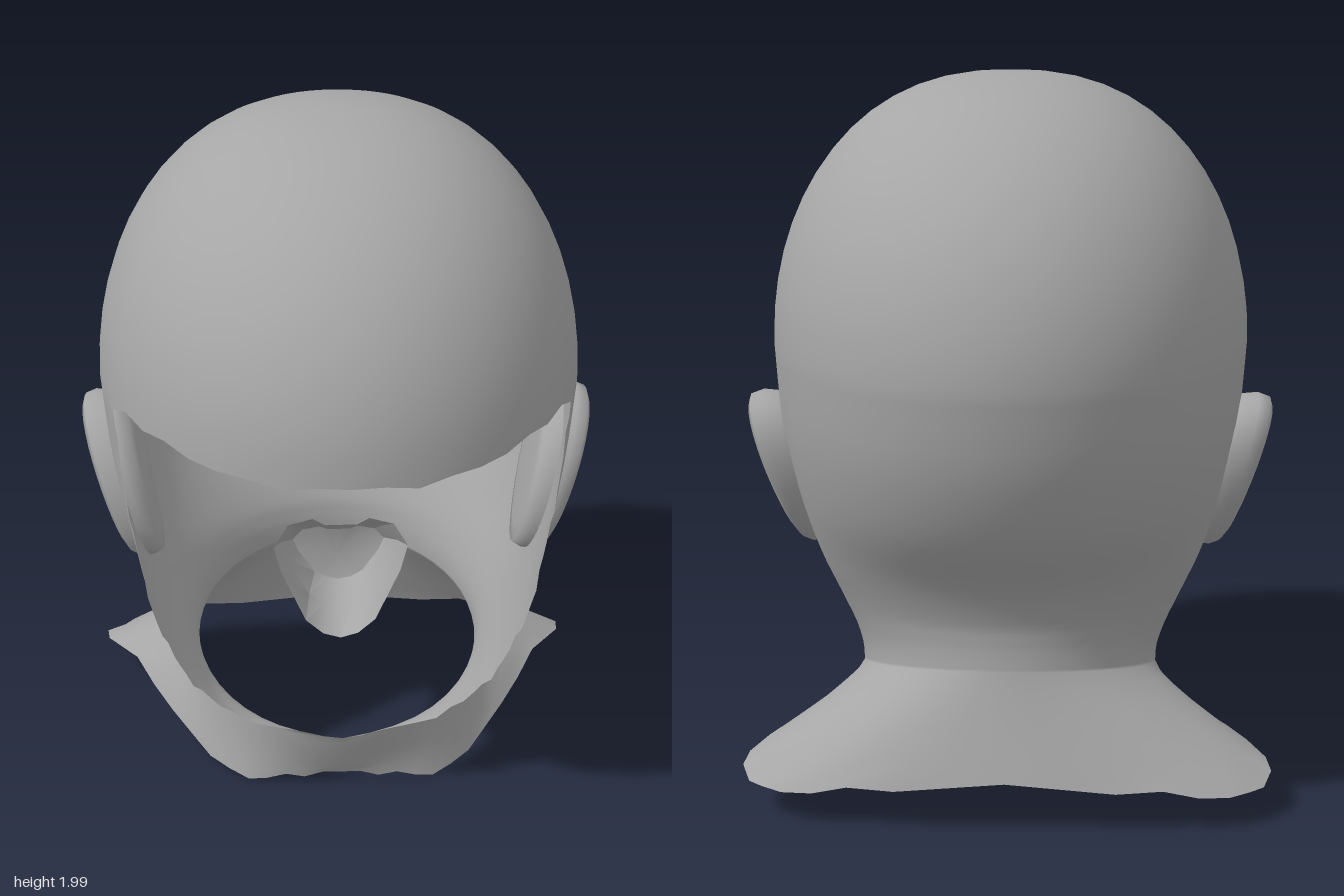
import * as THREE from 'three';
import { mergeGeometries, mergeVertices, toCreasedNormals } from 'three/addons/utils/BufferGeometryUtils.js';

const skin = new THREE.MeshStandardMaterial({ color: 0xa6a6a6, side: THREE.DoubleSide });
skin.name = 'grey skin';

const V = (x, y, z) => new THREE.Vector3(x, y, z);
const lerp = THREE.MathUtils.lerp;
const jag = i => Math.sin(i * 2.4) * 0.6 + Math.sin(i * 5.3 + 1) * 0.4;

// Joins rows of points (equal length) into a surface
function loft(rows) {
  const n = rows[0].length, index = [];
  for (let r = 0; r < rows.length - 1; r++) {
    for (let i = 0; i < n - 1; i++) {
      const a = r * n + i, b = a + n;
      index.push(a, b, a + 1, b, b + 1, a + 1);
    }
  }
  const geo = new THREE.BufferGeometry().setFromPoints(rows.flat());
  geo.setIndex(index);
  return geo;
}

// Catmull-Rom through rows of numbers
function spline(rows, t) {
  const k = Math.min(Math.floor(t), rows.length - 2), u = t - k;
  const at = j => rows[THREE.MathUtils.clamp(j, 0, rows.length - 1)];
  return rows[0].map((_, c) => {
    const [a, b, d, e] = [at(k - 1)[c], at(k)[c], at(k + 1)[c], at(k + 2)[c]];
    return b + 0.5 * u * (d - a + u * (2 * a - 5 * b + 4 * d - e + u * (3 * (b - d) + e - a)));
  });
}

const mirrorRow = half => [...half, ...half.slice(0, -1).reverse().map(p => V(-p.x, p.y, p.z))];

const CUT = 0.33, NE = 9, NF = 9, NB = 13;
const PHI = Math.asin(CUT / 0.83);

// Skull cap: upper half of an ellipsoid with a ragged brow edge
function capGeometry() {
  const phis = [];
  for (let i = 0; i < NE; i++) phis.push(lerp(Math.PI / 2, PHI, i / NE));
  for (let i = 0; i < NF; i++) phis.push(lerp(PHI, 0, i / NF));
  for (let i = 0; i <= NB; i++) phis.push(-Math.PI / 2 * i / NB);
  const rows = [], R = 14;
  for (let r = 0; r <= R; r++) {
    const th = Math.PI / 2 * (1 - r / R);
    const c = r ? Math.cos(th) : 0;
    rows.push(mirrorRow(phis.map((p, i) => {
      const z = 0.83 * c * Math.sin(p);
      let y = 1.27 + 0.73 * Math.sin(th);
      if (r === R && i < NE) y += 0.045 * Math.pow(i / NE, 2) + 0.012 * jag(i);
      return V(0.664 * Math.pow(c, 0.85) * Math.cos(p), y, z);
    })));
  }
  return loft(rows);
}

// Sides, nape and jaw, open at the face, running down into the flared neck
function shellGeometry() {
  // y at front, y at back, x at the face cut, half width, z of widest point, z at back
  const keys = [
    [1.27, 1.27, 0.664 * Math.cos(PHI), 0.664, 0, -0.83],
    [1.05, 1.05, 0.592, 0.645, -0.02, -0.79],
    [0.85, 0.85, 0.565, 0.605, -0.03, -0.70],
    [0.65, 0.68, 0.53, 0.55, -0.03, -0.565],
    [0.50, 0.57, 0.475, 0.495, -0.02, -0.51],
    [0.38, 0.51, 0.40, 0.45, -0.05, -0.50],
    [0.28, 0.47, 0.27, 0.425, -0.08, -0.50],
    [0.21, 0.43, 0, 0.42, -0.09, -0.503],
  ];
  const rows = [], SUB = 4, last = (keys.length - 1) * SUB;
  let half;
  for (let r = 0; r <= last; r++) {
    const [yF, yB, xe, a, cz, zb] = spline(keys, r / SUB);
    const p0 = Math.acos(THREE.MathUtils.clamp(xe / a, 0, 1));
    half = [];
    for (let i = 0; i <= NF + NB; i++) {
      const p = i < NF ? lerp(p0, 0, i / NF) : -Math.PI / 2 * (i - NF) / NB;
      let z = i < NF ? cz + (CUT - cz) * Math.sin(p) / Math.sin(p0) : cz + (cz - zb) * Math.sin(p);
      const y = lerp(yF, yB, (CUT - z) / (CUT - zb));
      if (i === 0 && r > 0 && r < last) z += 0.015 * jag(r);
      half.push(V(a * Math.cos(p), y, z));
    }
    rows.push(mirrorRow(half));
  }
  // Ragged lower edge with shoulder tips
  const hem = new THREE.CatmullRomCurve3([
    V(0, 0.04, 0.26), V(0.15, 0.04, 0.26), V(0.3, 0.005, 0.22), V(0.46, 0.06, 0.04), V(0.62, 0.16, -0.2),
    V(0.73, 0.125, -0.42), V(0.64, 0.1, -0.54), V(0.4, 0.12, -0.59), V(0, 0.15, -0.6)]);
  const STEPS = 7;
  for (let s = 1; s <= STEPS; s++) {
    const t = s / STEPS;
    rows.push(mirrorRow(half.map((p, i) => {
      const q = hem.getPoint(i / (NF + NB));
      if (s === STEPS) q.y = Math.max(0, q.y + 0.012 * jag(i));
      const e = Math.pow(t, 1.1);
      return V(lerp(p.x, q.x, e), lerp(p.y, q.y, t), lerp(p.z, q.z, e));
    })));
  }
  return loft(rows);
}

// Ear: closed slab leaning outward at the top, with a rounded rim and a hollow
const earPlane = y => 0.555 + 0.22 * (y - 0.9);
function buildEar() {
  const ear = new THREE.Group();
  const rings = [[0, 0], [0.7, 0], [0.93, 0.005], [1, 0.04], [1.02, 0.085], [0.97, 0.115],
    [0.86, 0.128], [0.72, 0.118], [0.58, 0.088], [0.3, 0.082], [0, 0.085]];
  const rows = rings.map(([s, d]) => {
    const row = [];
    for (let i = 0; i <= 28; i++) {
      const a = (i % 28) / 28 * Math.PI * 2, sy = Math.sin(a);
      const y = 0.885 + 0.23 * s * sy;
      const z = -0.06 - s * (Math.cos(a) * (0.15 + 0.025 * sy) + 0.055 * sy);
      row.push(V(earPlane(y) + d * (1 + 0.6 * (y - 0.95)), y, z));
    }
    return row;
  });
  const geo = mergeVertices(loft(rows));
  geo.computeVertexNormals();
  const body = new THREE.Mesh(geo, skin);
  body.name = 'earBody';
  // Inner curl of the ear
  const curl = new THREE.CatmullRomCurve3([[0.07, 0.94], [0.02, 0.9], [-0.04, 0.84], [-0.1, 0.83], [-0.145, 0.89],
    [-0.12, 0.97], [-0.05, 1.0], [0, 0.97]].map(([z, y]) => V(earPlane(y) + 0.088, y, z)));
  const fold = new THREE.Mesh(new THREE.TubeGeometry(curl, 28, 0.02, 6), skin);
  fold.name = 'earFold';
  ear.add(body, fold);
  return ear;
}

// Mouth cavity: a faceted cup opening to the front
function mouthGeometry() {
  const right = [[0, 0.84], [0.045, 0.84], [0.08, 0.86], [0.15, 0.84], [0.19, 0.77], [0.17, 0.69],
    [0.1, 0.53], [0.05, 0.485], [0, 0.47]];
  const rim = [...right, ...right.slice(0, -1).reverse().map(([x, y]) => [-x, y])];
  // z, width scale, height scale
  const rings = [[0.2, 1, 1], [0.1, 0.88, 0.72], [0.02, 0.7, 0.45], [0, 0, 0]];
  const rows = rings.map(([z, sx, sy]) => rim.map(([x, y]) => V(x * sx, 0.64 + (y - 0.64) * sy, z)));
  return toCreasedNormals(loft(rows), 0.5);
}

export function createModel() {
  const model = new THREE.Group();
  model.name = 'headShell';

  const headGeo = mergeVertices(mergeGeometries([capGeometry(), shellGeometry()]), 1e-4);
  headGeo.computeVertexNormals();
  const head = new THREE.Mesh(headGeo, skin);
  head.name = 'headAndNeck';

  const mouth = new THREE.Mesh(mouthGeometry(), skin);
  mouth.name = 'mouthCavity';
  model.add(head, mouth);

  for (const side of [1, -1]) {
    const ear = buildEar();
    ear.name = side > 0 ? 'leftEar' : 'rightEar';
    ear.scale.x = side;
    model.add(ear);
  }
  return model;
}
